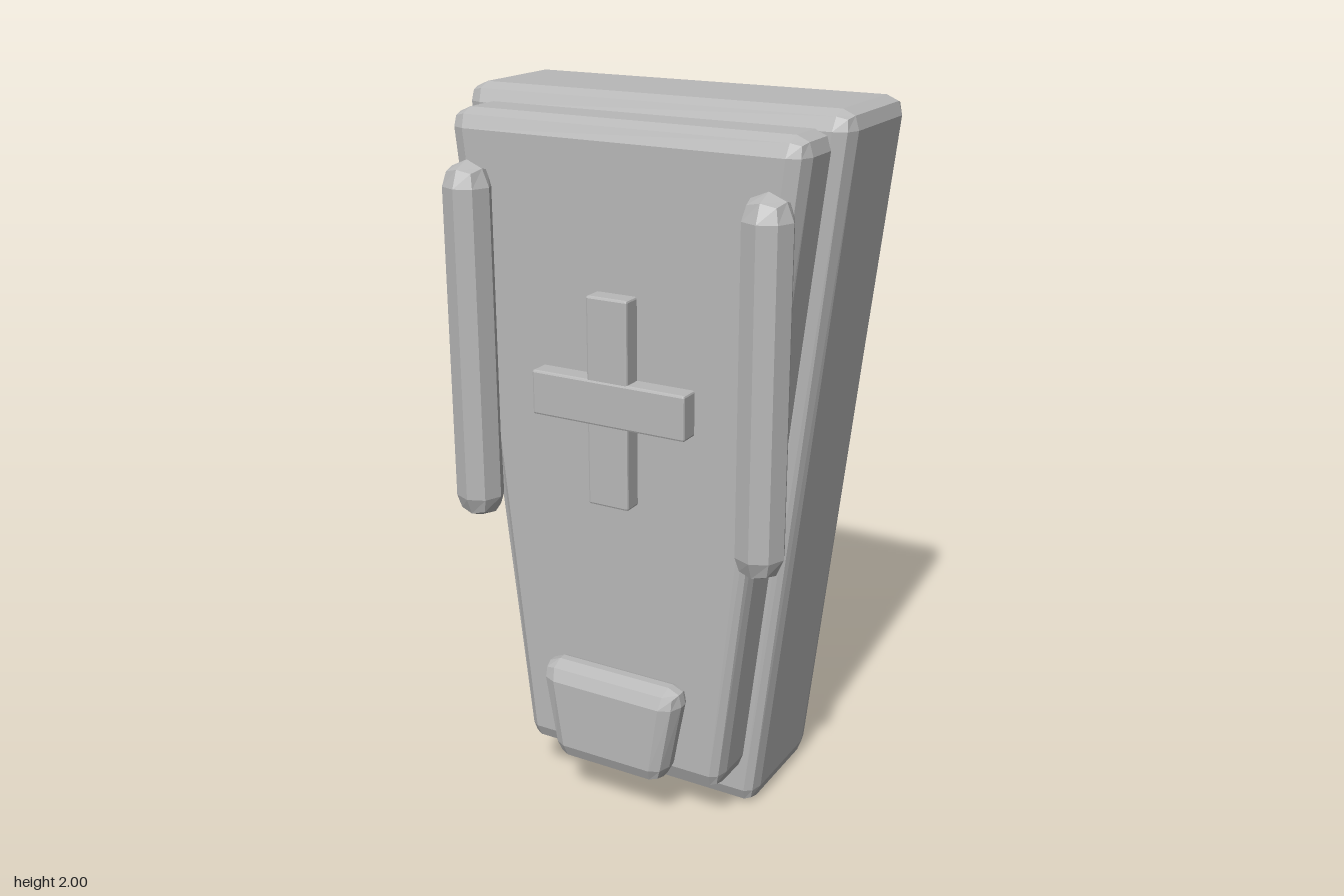
import * as THREE from 'three';
import { RoundedBoxGeometry } from 'three/addons/geometries/RoundedBoxGeometry.js';

const grey = new THREE.MeshStandardMaterial({ color: 0xb8b8b8 });
grey.name = 'grey';

// Bevelled block with flat facets; half-width runs from bottom to top
function block(name, bottom, top, y0, y1, z0, z1, bevel, x = 0) {
  const h = y1 - y0;
  const geo = new RoundedBoxGeometry(top * 2, h, z1 - z0, 1, bevel);
  const p = geo.attributes.position;
  for (let i = 0; i < p.count; i++) {
    const t = p.getY(i) / h + 0.5;
    p.setX(i, p.getX(i) * THREE.MathUtils.lerp(bottom / top, 1, t));
  }
  geo.deleteAttribute('normal');
  geo.computeVertexNormals();
  const mesh = new THREE.Mesh(geo, grey);
  mesh.name = name;
  mesh.position.set(x, (y0 + y1) / 2, (z0 + z1) / 2);
  return mesh;
}

export function createModel() {
  const model = new THREE.Group();
  model.name = 'taperedCase';

  // Tapered body and raised front panel
  model.add(block('body', 0.345, 0.57, 0, 2, -0.315, 0.07, 0.05));
  model.add(block('frontPanel', 0.31, 0.52, 0.12, 1.955, 0, 0.222, 0.05));

  // Small tapered plate near the foot
  model.add(block('lowerPlate', 0.17, 0.226, 0.14, 0.44, 0.185, 0.308, 0.05));

  // Raised cross
  const cross = new THREE.Group();
  cross.name = 'cross';
  cross.add(block('crossUpright', 0.061, 0.061, 0.945, 1.52, 0.19, 0.275, 0.006));
  cross.add(block('crossBar', 0.23, 0.23, 1.172, 1.296, 0.19, 0.278, 0.006));
  model.add(cross);

  // Upright eight-sided rods on both sides
  for (const [side, name] of [[1, 'leftRod'], [-1, 'rightRod']]) {
    model.add(block(name, 0.068, 0.068, 0.825, 1.83, 0.178, 0.314, 0.068, side * 0.436));
  }
  return model;
}
